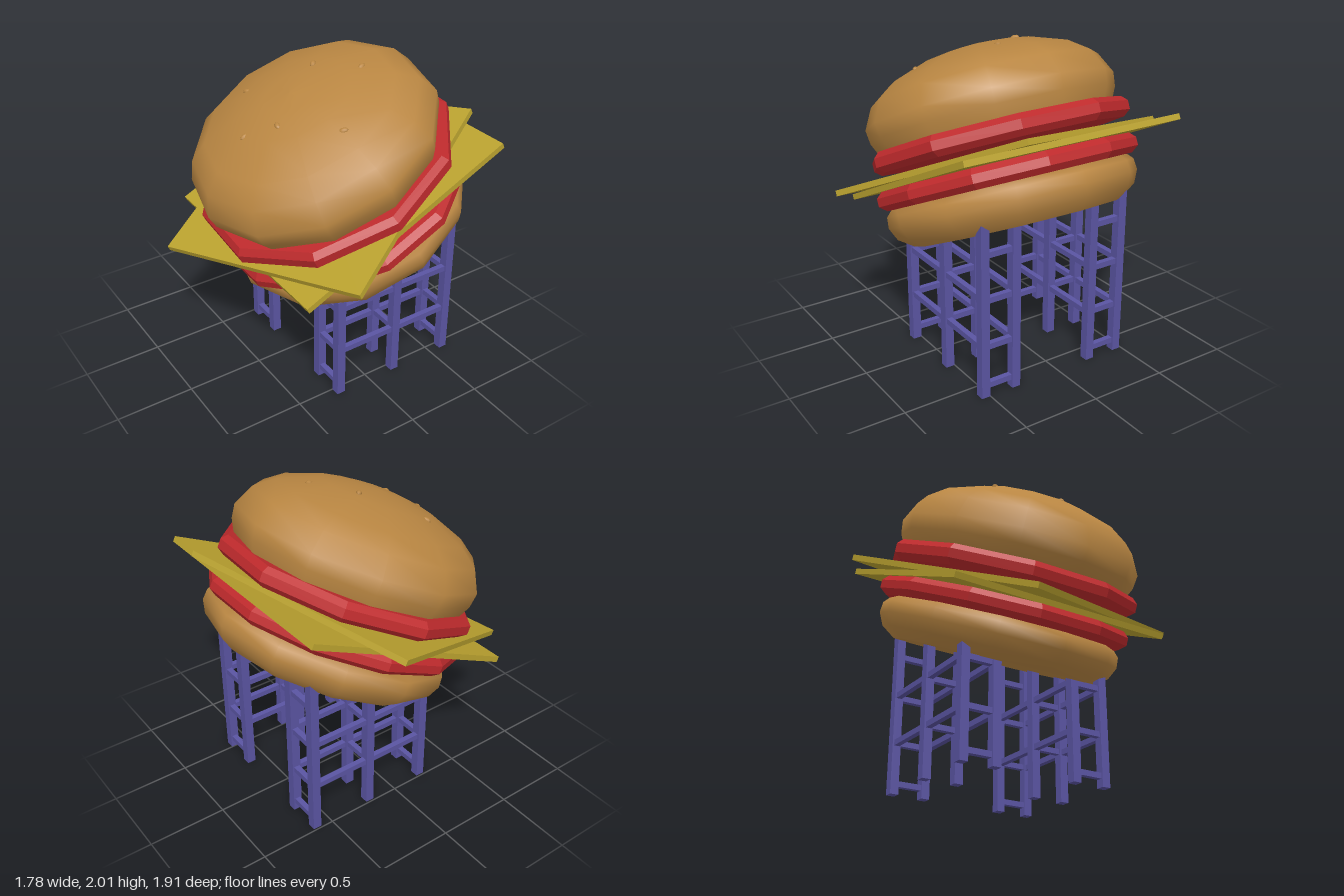
import * as THREE from 'three';
import { toCreasedNormals } from 'three/addons/utils/BufferGeometryUtils.js';

export function createModel() {
  const mat = (name, color) => {
    const m = new THREE.MeshStandardMaterial({ color });
    m.name = name;
    return m;
  };
  const bunMat = mat('toasted bun', 0xb98642);
  const tomatoMat = mat('tomato red', 0xbe2a2c);
  const cheeseMat = mat('cheese yellow', 0xbaa22f);
  const steelMat = mat('violet steel', 0x5a54a2);

  const model = new THREE.Group();
  model.name = 'burgerOnStilts';

  const add = (parent, name, geo, material, x, y, z) => {
    const mesh = new THREE.Mesh(geo, material);
    mesh.name = name;
    mesh.position.set(x, y, z);
    parent.add(mesh);
    return mesh;
  };
  const lathe = (pts, sides) =>
    new THREE.LatheGeometry(pts.map(([r, y]) => new THREE.Vector2(r, y)), sides);

  // The whole burger leans on its stilts
  const burger = new THREE.Group();
  burger.name = 'burger';
  burger.rotation.z = THREE.MathUtils.degToRad(25);
  model.add(burger);
  const cx = 0.573, cz = 0.025;

  // Buns: smooth twelve-sided turnings
  add(burger, 'bottomBun', lathe([
    [0.66, 0.688], [0.75, 0.75], [0.788, 0.83], [0.782, 0.9], [0.72, 0.965], [0, 0.97],
  ], 12), bunMat, cx, 0, cz);
  const base = add(burger, 'bottomBunBase',
    new THREE.CircleGeometry(0.66, 12).rotateX(Math.PI / 2), bunMat, cx, 0.688, cz);
  base.name = 'bottomBunBase';
  add(burger, 'topBun', lathe([
    [0.735, 1.275], [0.775, 1.36], [0.786, 1.45], [0.72, 1.58], [0.6, 1.667],
    [0.36, 1.757], [0.17, 1.79], [0, 1.8],
  ], 12), bunMat, cx, 0, cz);

  // Seeds barely breaking the crust
  const seeds = [[-0.36, 1.745, 0.0], [-0.2, 1.77, 0.14], [0.02, 1.71, 0.46],
    [0.25, 1.77, -0.12], [-0.12, 1.745, -0.34], [0.42, 1.715, 0.12]];
  seeds.forEach(([x, y, z], i) => {
    const seed = add(burger, 'seed', new THREE.SphereGeometry(0.03, 8, 6), bunMat, cx + x, y, cz + z);
    seed.scale.set(1, 0.6, 0.6);
    seed.rotation.y = i * 1.3;
  });

  // Tomato slices: faceted discs with bevelled rims
  const slice = (name, y, h, sides, turn) => {
    const geo = toCreasedNormals(lathe([
      [0, 0], [0.775, 0], [0.82, 0.035], [0.82, h - 0.035], [0.785, h], [0, h],
    ], sides), 0.3);
    add(burger, name, geo, tomatoMat, cx, y, cz).rotation.y = THREE.MathUtils.degToRad(turn);
  };
  slice('lowerTomato', 0.937, 0.12, 12, 15);
  slice('upperTomato', 1.16, 0.125, 10, -4);

  // Cheese: two square slabs, one twisted
  add(burger, 'lowerCheese', new THREE.BoxGeometry(1.51, 0.036, 1.49), cheeseMat, 0.605, 1.078, 0.005);
  add(burger, 'upperCheese', new THREE.BoxGeometry(1.46, 0.036, 1.46), cheeseMat, 0.49, 1.116, 0)
    .rotation.y = THREE.MathUtils.degToRad(22.5);

  // Stilts: two pairs of rows, three posts in each row
  const stilts = new THREE.Group();
  stilts.name = 'stilts';
  model.add(stilts);
  const posts = [[-0.225, 0.71], [0.195, 0.9], [0.605, 1.12]];
  const pairs = [[0.53, 0.315], [-0.46, -0.245]];
  const w = 0.056, t = 0.036;
  for (const [outer, inner] of pairs) {
    for (const z of [outer, inner]) {
      for (const [x, h] of posts) {
        add(stilts, 'post', new THREE.BoxGeometry(w, h, w), steelMat, x, h / 2, z);
      }
      // Long beams
      for (const y of [0.325, 0.64]) {
        add(stilts, 'beam', new THREE.BoxGeometry(0.83, t, t), steelMat, 0.19, y, z);
      }
    }
    // Short rungs joining each pair of posts
    posts.forEach(([x], i) => {
      const heights = [0.33, 0.63];
      if (i !== 1) heights.push(0.07);
      if (i === 2) heights.push(0.915);
      for (const y of heights) {
        add(stilts, 'rung', new THREE.BoxGeometry(t, t, 0.215), steelMat, x, y, (outer + inner) / 2);
      }
    });
  }

  return model;
}
